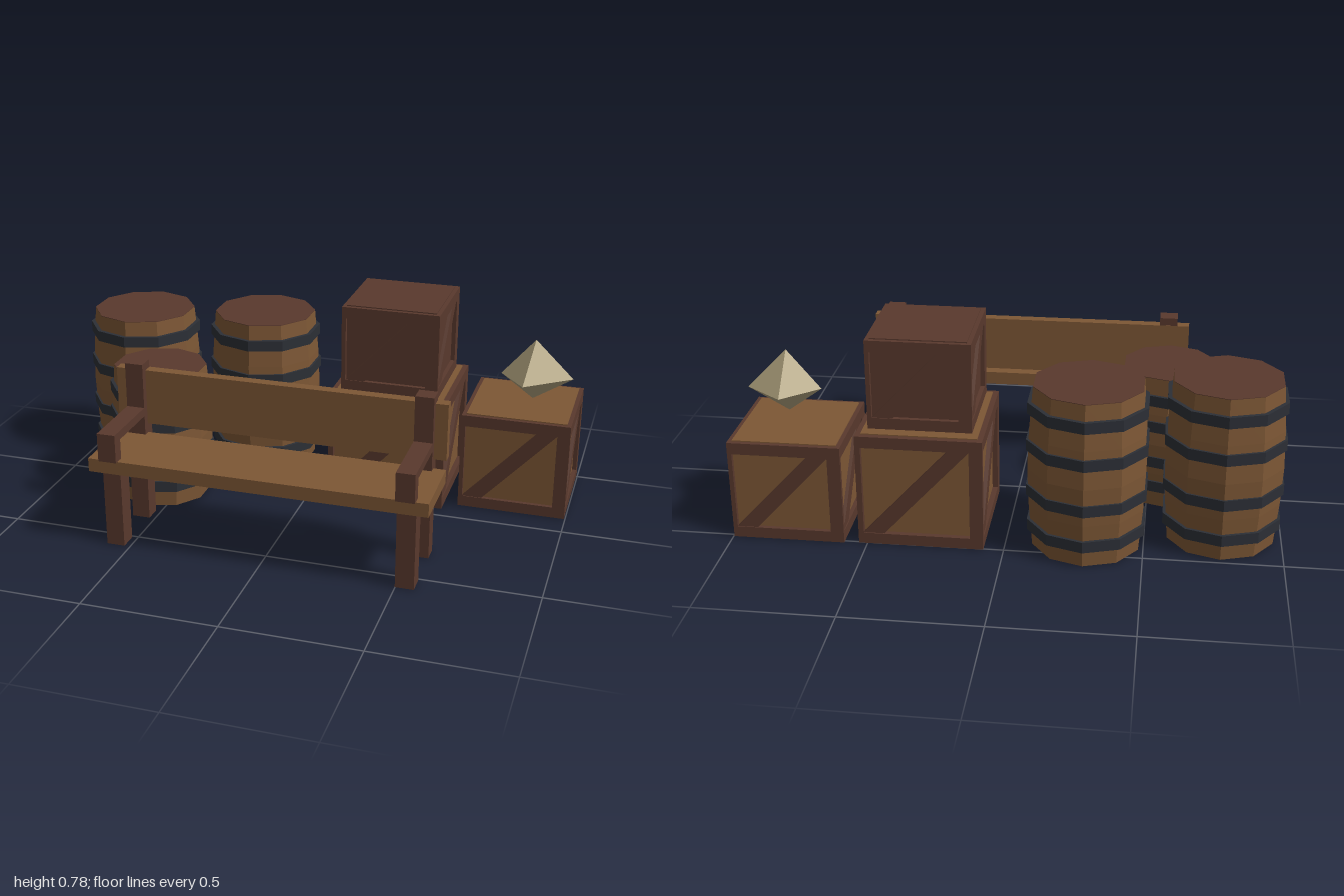
import * as THREE from 'three';
import { ConvexGeometry } from 'three/addons/geometries/ConvexGeometry.js';

const mat = (name, color) =>
  new THREE.MeshStandardMaterial({ name, color, flatShading: true, side: THREE.DoubleSide });

export function createModel() {
  const wood = mat('wood', 0x7d5735);
  const darkWood = mat('darkWood', 0x59392d);
  const iron = mat('iron', 0x2c2f36);
  const stone = mat('paleStone', 0xb3a580);
  const model = new THREE.Group();

  const add = (parent, name, geometry, material, x = 0, y = 0, z = 0) => {
    const mesh = new THREE.Mesh(geometry, material);
    mesh.name = name;
    mesh.position.set(x, y, z);
    parent.add(mesh);
    return mesh;
  };
  // Box given by its minimum and maximum corners
  const block = (parent, name, material, x0, x1, y0, y1, z0, z1) =>
    add(parent, name, new THREE.BoxGeometry(x1 - x0, y1 - y0, z1 - z0), material,
      (x0 + x1) / 2, (y0 + y1) / 2, (z0 + z1) / 2);
  const lathe = (points) =>
    new THREE.LatheGeometry(points.map(([r, y]) => new THREE.Vector2(r, y)), 10);

  // Ten-sided barrel, open underneath, with four iron hoops
  function barrel(name, x, z, r, h, hoops) {
    const group = new THREE.Group();
    group.name = name;
    group.position.set(x, 0, z);
    add(group, 'staves', lathe([[r * 0.89, 0.005], [r * 0.95, h * 0.27], [r * 0.975, h * 0.5],
      [r * 0.95, h * 0.73], [r * 0.89, h - 0.002]]), wood);
    add(group, 'lid', new THREE.CylinderGeometry(r * 0.89, r * 0.89, 0.006, 10), darkWood, 0, h - 0.003);
    for (const y of hoops) {
      const outer = r * (1 - 0.16 * (y / h - 0.5) ** 2);
      const inner = outer - 0.018;
      add(group, 'hoop', lathe([[inner, y - 0.021], [outer, y - 0.021], [outer, y + 0.021],
        [inner, y + 0.021], [inner, y - 0.021]]), iron);
    }
    model.add(group);
  }
  const tallHoops = [0.09, 0.232, 0.408, 0.549];
  barrel('leftBackBarrel', -0.776, -0.278, 0.227, 0.63, tallHoops);
  barrel('middleBackBarrel', -0.29, -0.38, 0.227, 0.63, tallHoops);
  barrel('smallBarrel', -0.567, 0.073, 0.2, 0.53, [0.092, 0.195, 0.34, 0.444]);

  // Crate, open underneath, with four framed sides and a brace on each
  function crate(name, panelMaterial, x, y, z, s, h, t) {
    const group = new THREE.Group();
    group.name = name;
    group.position.set(x, y, z);
    const panel = new THREE.BoxGeometry(s - 2 * t, h - 0.004, s - 2 * t);
    const index = Array.from(panel.index.array);
    index.splice(18, 6);
    panel.setIndex(index);
    panel.clearGroups();
    add(group, 'panels', panel, panelMaterial, 0, h / 2 + 0.002, 0);

    const half = s / 2, w = 0.048, d = 0.075;
    const x0 = -half + t, x1 = half - w, y0 = w, y1 = h - w;
    const braceShape = new THREE.Shape([[x0, y0], [x0 + d, y0], [x1, y1], [x1 - d, y1]]
      .map(([a, b]) => new THREE.Vector2(a, b)));
    for (let k = 0; k < 4; k++) {
      const side = new THREE.Group();
      side.name = 'sideFrame';
      side.rotation.y = k * Math.PI / 2;
      block(side, 'bottomRail', darkWood, x0, half, 0.006, w, half - t, half);
      block(side, 'topRail', darkWood, x0, half, h - w, h - 0.004, half - t, half);
      block(side, 'cornerPost', darkWood, x1, half, w, h - w, half - t, half);
      add(side, 'brace', new THREE.ExtrudeGeometry(braceShape, { depth: t * 0.8, bevelEnabled: false }),
        darkWood, 0, 0, half - t);
      group.add(side);
    }
    model.add(group);
  }
  crate('lowerCrate', wood, 0.302, 0, -0.28, 0.458, 0.438, 0.02);
  crate('sideCrate', wood, 0.79, 0, -0.31, 0.412, 0.39, 0.016);
  crate('upperCrate', darkWood, 0.303, 0.438, -0.27, 0.376, 0.345, 0.016);

  // Bench
  const bench = new THREE.Group();
  bench.name = 'bench';
  model.add(bench);
  block(bench, 'seat', wood, -0.635, 0.613, 0.302, 0.353, 0.32, 0.6);
  block(bench, 'backrest', wood, -0.635, 0.613, 0.388, 0.6, 0.28, 0.32);
  for (const x of [-0.555, 0.533]) {
    const a = x - 0.034, b = x + 0.034;
    block(bench, 'backPost', darkWood, a, b, 0.005, 0.63, 0.282, 0.346);
    block(bench, 'frontLeg', darkWood, a, b, 0.005, 0.302, 0.51, 0.58);
    block(bench, 'armrest', darkWood, a, b, 0.428, 0.46, 0.346, 0.612);
    block(bench, 'armSupport', darkWood, a, b, 0.353, 0.428, 0.566, 0.612);
  }

  // Floating faceted stone
  const corners = [[0.826, 0.657, -0.272], [0.826, 0.418, -0.275], [0.7, 0.508, -0.275],
    [0.828, 0.512, -0.4], [0.974, 0.508, -0.285], [0.802, 0.512, -0.138]];
  add(model, 'facetedStone', new ConvexGeometry(corners.map((p) => new THREE.Vector3(...p))), stone);

  return model;
}
